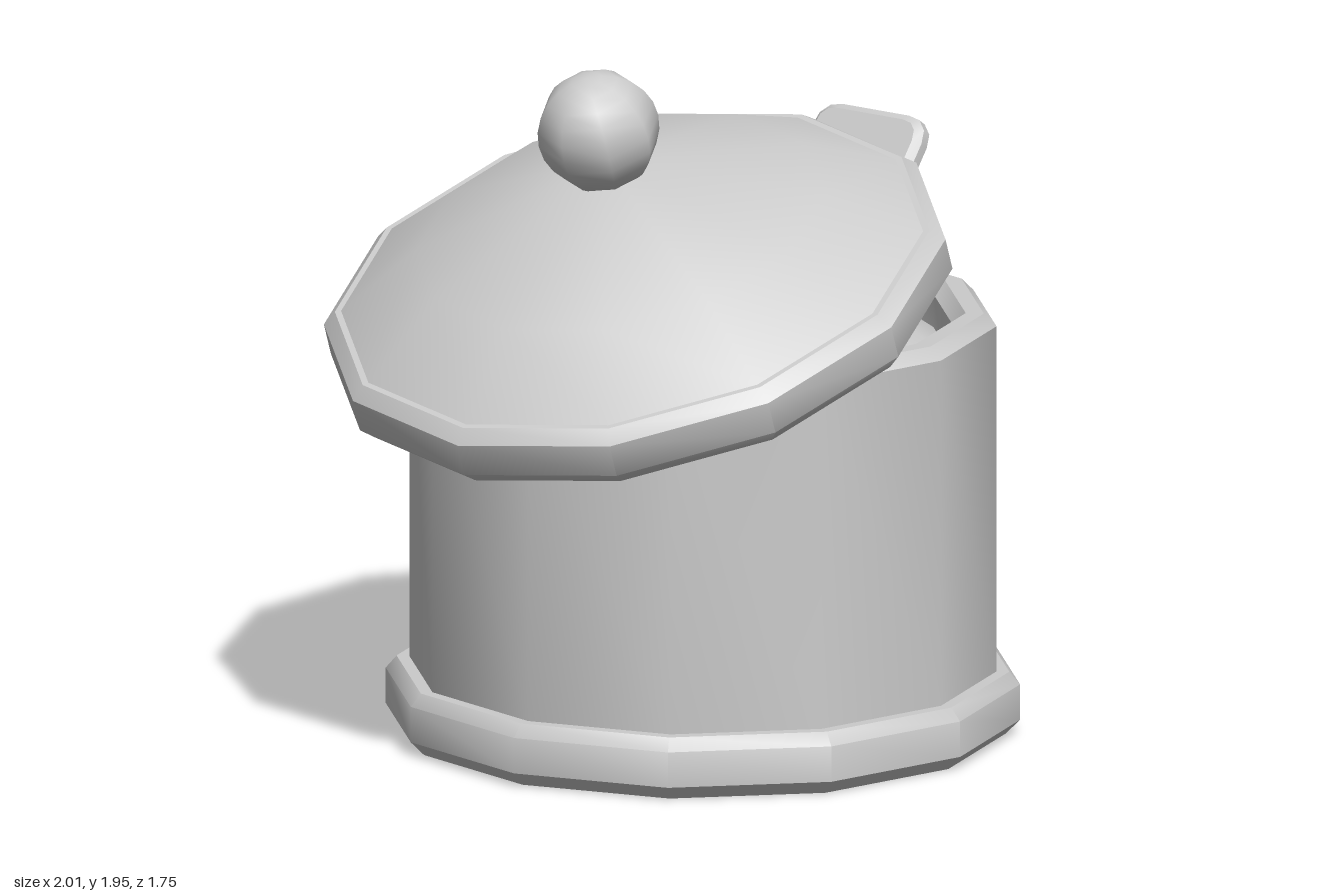
import * as THREE from 'three';
import { toCreasedNormals } from 'three/addons/utils/BufferGeometryUtils.js';

const SIDES = 12;
const CREASE = 0.75;
const material = new THREE.MeshStandardMaterial({ color: 0xcccccc });

function part(name, geometry, mat = material) {
  const mesh = new THREE.Mesh(geometry, mat);
  mesh.name = name;
  return mesh;
}

// Twelve-sided turned part from [radius, height] pairs, listed bottom to top
function turned(name, profile, mat) {
  const points = profile.map(([r, y]) => new THREE.Vector2(r, y));
  return part(name, toCreasedNormals(new THREE.LatheGeometry(points, SIDES), CREASE), mat);
}

// Tapered handle with rounded end, running down from its top at the origin
function spoonHandle() {
  const top = 0.165, bottom = 0.125, length = 0.7, c = 0.055;
  const s = new THREE.Shape();
  s.moveTo(-bottom, -length);
  s.lineTo(bottom, -length);
  s.lineTo(top, -c - 0.02);
  s.quadraticCurveTo(top, -0.02, top - c, -0.02);
  s.lineTo(-top + c, -0.02);
  s.quadraticCurveTo(-top, -0.02, -top, -c - 0.02);
  s.closePath();
  const g = new THREE.ExtrudeGeometry(s, {
    depth: 0.03, bevelEnabled: true, bevelThickness: 0.02, bevelSize: 0.02, bevelSegments: 1, curveSegments: 3,
  });
  g.translate(0, 0, -0.015);
  g.rotateY(Math.PI / 2);
  return part('spoonHandle', toCreasedNormals(g, CREASE));
}

export function createModel() {
  const model = new THREE.Group();
  model.name = 'lidded pot';

  // Pot: foot, hollow wall with bevelled rim, heaped contents
  const pot = new THREE.Group();
  pot.name = 'pot';
  pot.position.x = 0.125;
  pot.add(
    turned('foot', [[0, 0], [0.835, 0], [0.875, 0.04], [0.875, 0.14], [0.845, 0.175], [0.78, 0.175]]),
    turned('wall', [[0.81, 0.16], [0.81, 1.15], [0.775, 1.185], [0.725, 1.185], [0.69, 1.15], [0.69, 0.9]],
      new THREE.MeshStandardMaterial({ color: 0xcccccc, side: THREE.DoubleSide })),
    turned('contents', [[0.7, 1.05], [0.505, 1.185], [0.375, 1.265], [0, 1.37]]),
  );
  model.add(pot);

  // Spoon leaning against the rim
  const spoon = spoonHandle();
  spoon.position.set(0.94, 1.57, 0);
  spoon.rotation.z = -THREE.MathUtils.degToRad(35);
  model.add(spoon);

  // Lid slid aside and tilted, with a ball knob
  const lid = new THREE.Group();
  lid.name = 'lid';
  lid.position.set(-0.145, 1.19, 0);
  lid.rotation.z = THREE.MathUtils.degToRad(20);
  const knob = part('knob', new THREE.SphereGeometry(0.17, 8, 12));
  knob.position.y = 0.625;
  lid.add(
    turned('lidRim', [[0, 0], [0.835, 0], [0.873, 0.04], [0.873, 0.135], [0.835, 0.17], [0.78, 0.17]]),
    turned('lidDome', [[0.825, 0.165], [0.573, 0.33], [0, 0.525]]),
    knob,
  );
  model.add(lid);

  return model;
}
